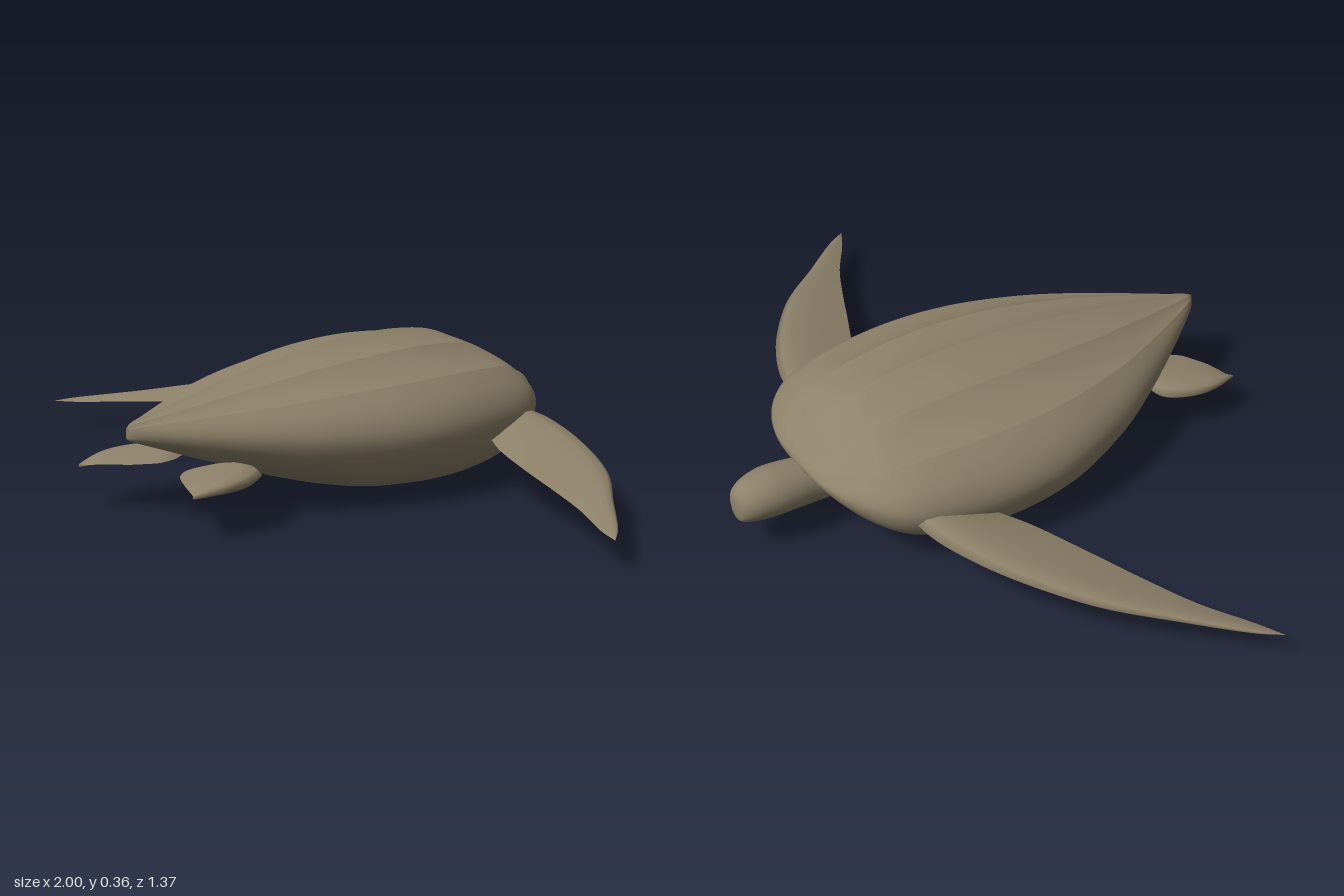
import * as THREE from 'three';

const skin = new THREE.MeshStandardMaterial({ color: 0x8d8169 });
skin.name = 'olive brown skin';

// Smooth surface through rows of points; closed rows share their seam vertex
function loft(rings, closed) {
  const n = rings[0].length, pos = [], idx = [];
  rings.forEach(r => r.forEach(p => pos.push(...p)));
  for (let i = 0; i < rings.length - 1; i++) {
    for (let j = 0; j < (closed ? n : n - 1); j++) {
      const k = (j + 1) % n;
      const a = i * n + j, b = a + n, c = (i + 1) * n + k, d = i * n + k;
      idx.push(a, b, c, a, c, d);
    }
  }
  const g = new THREE.BufferGeometry();
  g.setAttribute('position', new THREE.Float32BufferAttribute(pos, 3));
  g.setIndex(idx);
  g.computeVertexNormals();
  return g;
}

function part(name, geometry) {
  const m = new THREE.Mesh(geometry, skin);
  m.name = name;
  return m;
}

// Samples rows of numbers with a uniform spline through every column
function sample(rows, steps) {
  const curve = cols => new THREE.CatmullRomCurve3(
    rows.map(r => new THREE.Vector3(...cols.map(c => r[c] ?? 0))), false, 'catmullrom', 0.5);
  const a = curve([0, 1, 2]), b = curve([3, 4, 5]);
  return Array.from({ length: steps + 1 }, (_, i) => {
    const p = a.getPoint(i / steps), q = b.getPoint(i / steps);
    return [p.x, p.y, p.z, q.x, q.y, q.z];
  });
}

// Body stations: z, half width, height of widest line, top, bottom
const bodyStations = sample([
  [-0.52, 0, 0.195, 0.197, 0.193], [-0.513, 0.1, 0.194, 0.212, 0.178],
  [-0.485, 0.19, 0.19, 0.24, 0.145], [-0.44, 0.26, 0.185, 0.28, 0.1],
  [-0.38, 0.31, 0.178, 0.32, 0.057], [-0.3, 0.338, 0.172, 0.346, 0.024],
  [-0.2, 0.354, 0.168, 0.358, 0.007], [-0.1, 0.361, 0.168, 0.361, 0.002],
  [0, 0.357, 0.17, 0.357, 0.006], [0.1, 0.338, 0.173, 0.349, 0.015],
  [0.2, 0.305, 0.177, 0.336, 0.036], [0.3, 0.262, 0.183, 0.319, 0.065],
  [0.4, 0.205, 0.19, 0.3, 0.1], [0.5, 0.14, 0.198, 0.278, 0.135],
  [0.6, 0.07, 0.208, 0.255, 0.172], [0.66, 0.024, 0.214, 0.242, 0.194],
  [0.68, 0, 0.216, 0.23, 0.204],
], 64);

const place = ([z, w, mid, top, bottom], u, v) =>
  [u * Math.max(w, 0), mid + v * (v > 0 ? top - mid : mid - bottom), z];

const ridges = [[-0.735, 0.6], [-0.375, 0.87], [0, 1], [0.375, 0.87], [0.735, 0.6]];

function buildBody() {
  const body = new THREE.Group();
  body.name = 'body';
  // Hollowed shell panels between the ridges, rounding out towards the neck
  for (let k = 0; k < 4; k++) {
    const [a, b] = [ridges[k], ridges[k + 1]];
    const nx = a[1] - b[1], ny = b[0] - a[0], len = Math.hypot(nx, ny);
    const rings = bodyStations.map(s => {
      const bulge = THREE.MathUtils.lerp(0.05, -0.035, THREE.MathUtils.smoothstep(s[0], -0.5, -0.25));
      return Array.from({ length: 9 }, (_, j) => {
        const t = j / 8, o = bulge * 4 * t * (1 - t) / len;
        return place(s, a[0] + (b[0] - a[0]) * t + nx * o, a[1] + (b[1] - a[1]) * t + ny * o);
      });
    });
    body.add(part('shellPanel' + (k + 1), loft(rings, false)));
  }
  // Flanks and belly in one sweep from the left outer ridge to the right one
  const half = [[0.735, 0.6], [0.86, 0.42], [0.95, 0.23], [1, 0], [0.985, -0.28],
    [0.92, -0.54], [0.8, -0.75], [0.62, -0.9], [0.35, -0.985]];
  const outline = [...half, [0, -1], ...half.map(([u, v]) => [-u, v]).reverse()];
  const pts = new THREE.SplineCurve(outline.map(p => new THREE.Vector2(...p))).getPoints(48);
  body.add(part('belly', loft(bodyStations.map(s => pts.map(p => place(s, p.x, p.y))), false)));
  return body;
}

// Head and neck stations: z, half width, top, bottom
function buildHead() {
  const stations = sample([
    [-0.692, 0, 0.137, 0.133], [-0.688, 0.026, 0.166, 0.098], [-0.675, 0.044, 0.18, 0.088],
    [-0.645, 0.058, 0.193, 0.083], [-0.6, 0.066, 0.2, 0.08], [-0.55, 0.066, 0.196, 0.078],
    [-0.5, 0.061, 0.19, 0.073], [-0.44, 0.058, 0.185, 0.07], [-0.38, 0.05, 0.17, 0.08],
    [-0.34, 0, 0.13, 0.13],
  ], 36);
  return part('headAndNeck', loft(stations.map(([z, w, top, bottom]) =>
    Array.from({ length: 24 }, (_, j) => {
      const t = j / 24 * Math.PI * 2;
      return [-Math.max(w, 0) * Math.cos(t), (top + bottom) / 2 + (top - bottom) / 2 * Math.sin(t), z];
    })), true));
}

// Flipper from stations: lead x, lead z, trail x, trail z, height, thickness
function buildFlipper(name, stations, side, tilt) {
  // Blade profile: fraction from trailing to leading edge, thickness fraction
  const profile = [[0, 0], [0.25, 0.22], [0.5, 0.4], [0.75, 0.5], [0.92, 0.36], [1, 0],
    [0.92, -0.36], [0.75, -0.5], [0.5, -0.4], [0.25, -0.22], [0, 0]];
  const rings = sample(stations, 40).map(([lx, lz, tx, tz, y, th]) => {
    const ring = profile.map(([f, h]) => [
      side * (tx + (lx - tx) * f),
      y + h * Math.max(th, 0) + (f - 0.5) * tilt * Math.hypot(lx - tx, lz - tz),
      tz + (lz - tz) * f,
    ]);
    return side > 0 ? ring : ring.reverse();
  });
  return part(name, loft(rings, false));
}

const frontStations = [
  [0.24, -0.29, 0.24, -0.28, 0.145, 0], [0.265, -0.36, 0.27, -0.22, 0.143, 0.045],
  [0.315, -0.37, 0.33, -0.185, 0.139, 0.055], [0.41, -0.35, 0.42, -0.125, 0.13, 0.05],
  [0.555, -0.28, 0.555, -0.06, 0.116, 0.04], [0.72, -0.16, 0.7, 0.005, 0.1, 0.03],
  [0.85, -0.015, 0.82, 0.064, 0.085, 0.02], [0.957, 0.107, 0.93, 0.135, 0.075, 0.01],
  [1, 0.172, 1, 0.172, 0.071, 0],
];

const rearStations = [
  [0.07, 0.46, 0.05, 0.5, 0.12, 0], [0.13, 0.435, 0.05, 0.545, 0.118, 0.034],
  [0.195, 0.443, 0.075, 0.585, 0.117, 0.04], [0.232, 0.51, 0.1, 0.605, 0.115, 0.036],
  [0.237, 0.58, 0.15, 0.632, 0.112, 0.026], [0.215, 0.655, 0.2, 0.652, 0.104, 0.01],
  [0.21, 0.658, 0.21, 0.658, 0.102, 0],
];

export function createModel() {
  const turtle = new THREE.Group();
  turtle.name = 'seaTurtle';
  turtle.add(buildBody(), buildHead());
  for (const [label, side] of [['Left', 1], ['Right', -1]]) {
    turtle.add(buildFlipper('frontFlipper' + label, frontStations, side, 0.12));
    turtle.add(buildFlipper('rearFlipper' + label, rearStations, side, 0));
  }
  return turtle;
}
